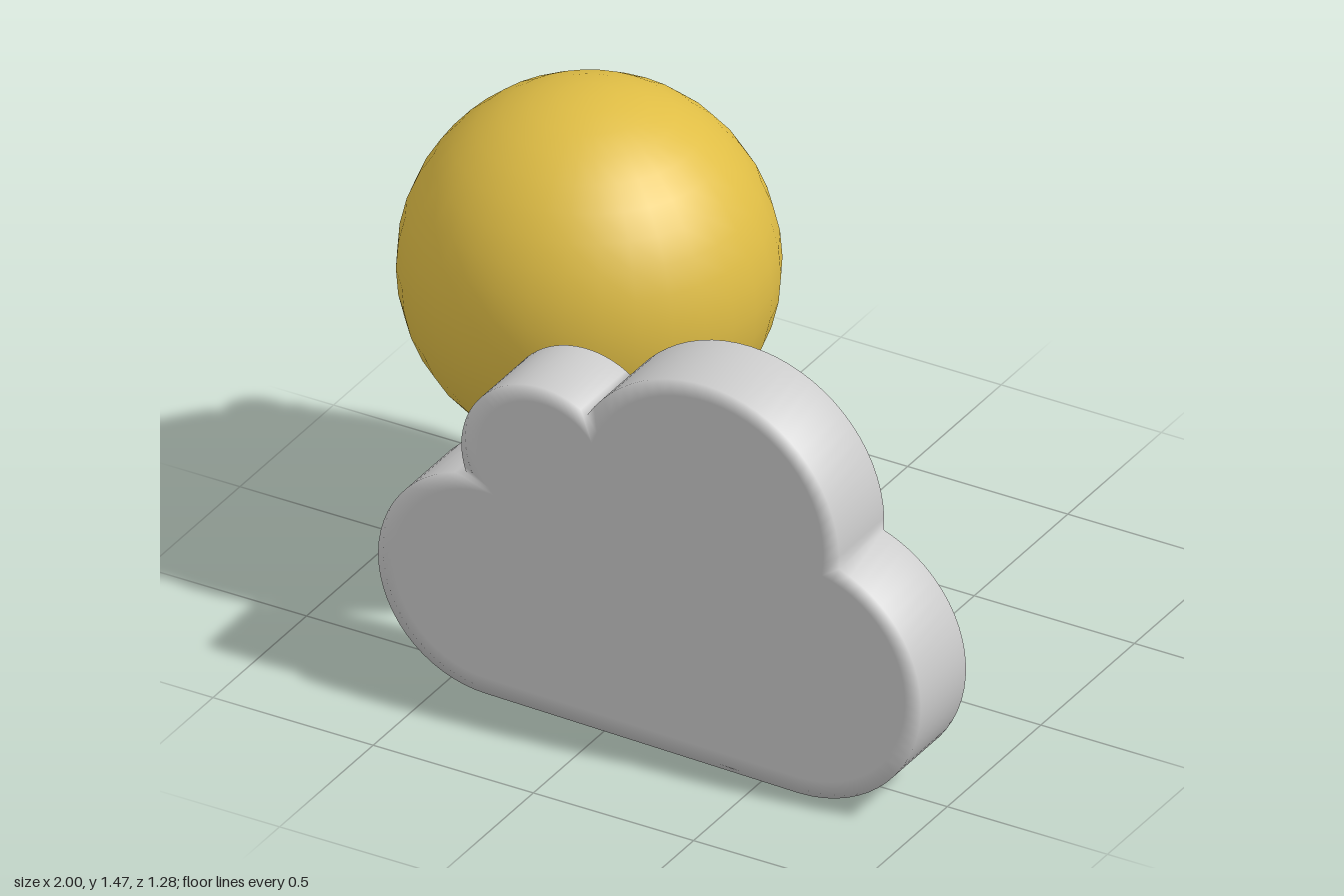
import * as THREE from 'three';

const grey = new THREE.MeshStandardMaterial({ color: 0xcccccc });
const gold = new THREE.MeshStandardMaterial({ color: 0xdfbd45 });

// Cloud lobes, counter-clockwise from lower right: x, y, radius
const LOBES = [
  [0.62, 0.38, 0.38],
  [0.32, 0.765, 0.425],
  [-0.185, 0.78, 0.25],
  [-0.355, 0.36, 0.34],
];
const ARC_STEPS = 28;

// Outer crossing point of two neighbouring lobes
function notch([ax, ay, ar], [bx, by, br]) {
  const dx = bx - ax, dy = by - ay, d = Math.hypot(dx, dy);
  const along = (ar * ar - br * br + d * d) / (2 * d);
  const out = Math.sqrt(Math.max(0, ar * ar - along * along));
  return [ax + (dx * along + dy * out) / d, ay + (dy * along - dx * out) / d];
}

// Outline of the joined lobes, shrunk by an inset
function cloudOutline(inset) {
  const lobes = LOBES.map(([x, y, r]) => [x, y, r - inset]);
  const points = [];
  lobes.forEach((lobe, i) => {
    const [x, y, r] = lobe;
    const angleTo = (p) => Math.atan2(p[1] - y, p[0] - x);
    const last = i === lobes.length - 1;
    const start = i === 0 ? -Math.PI / 2 : angleTo(notch(lobes[i - 1], lobe));
    let end = last ? -Math.PI / 2 : angleTo(notch(lobe, lobes[i + 1]));
    while (end < start) end += 2 * Math.PI;
    for (let k = 0; k < ARC_STEPS + (last ? 1 : 0); k++) {
      const a = start + ((end - start) * k) / ARC_STEPS;
      points.push(new THREE.Vector2(x + r * Math.cos(a), y + r * Math.sin(a)));
    }
  });
  return points;
}

// Slab with flat faces and normals that blend softly round the rim
function cloudGeometry(front, back) {
  const outer = cloudOutline(0), inner = cloudOutline(0.05);
  const n = outer.length;
  const loops = [[inner, front], [outer, front], [outer, back], [inner, back]];
  const positions = [], index = [];
  for (const [points, z] of loops) {
    for (const p of points) positions.push(p.x, p.y, z);
  }
  for (let l = 0; l < 3; l++) {
    for (let i = 0; i < n; i++) {
      const j = (i + 1) % n;
      const a = l * n + i, b = a + n, c = (l + 1) * n + j, d = l * n + j;
      index.push(a, b, c, a, c, d);
    }
  }
  for (const [a, b, c] of THREE.ShapeUtils.triangulateShape(inner, [])) {
    index.push(a, b, c, 3 * n + a, 3 * n + c, 3 * n + b);
  }
  const geometry = new THREE.BufferGeometry();
  geometry.setAttribute('position', new THREE.Float32BufferAttribute(positions, 3));
  geometry.setIndex(index);
  geometry.computeVertexNormals();
  return geometry;
}

export function createModel() {
  const model = new THREE.Group();
  model.name = 'sunAndCloud';

  const cloud = new THREE.Mesh(cloudGeometry(0.64, 0.4), grey);
  cloud.name = 'cloud';
  model.add(cloud);

  const sun = new THREE.Group();
  sun.name = 'sun';
  sun.position.set(-0.48, 0.945, -0.12);
  const ball = new THREE.Mesh(new THREE.SphereGeometry(0.522, 32, 20), gold);
  ball.name = 'sunBall';
  sun.add(ball);

  // Curved row of small bumps on the back of the sun
  const bumpGeometry = new THREE.SphereGeometry(0.08, 20, 14);
  const bumpSpots = [
    [-0.28, 0.148, -0.4],
    [-0.317, -0.018, -0.4],
    [-0.28, -0.16, -0.4],
    [-0.15, -0.28, -0.4],
    [-0.02, -0.3, -0.41],
  ];
  bumpSpots.forEach((spot, i) => {
    const bump = new THREE.Mesh(bumpGeometry, gold);
    bump.name = `sunBump${i + 1}`;
    bump.position.set(...spot).setLength(0.485);
    sun.add(bump);
  });
  model.add(sun);

  return model;
}
